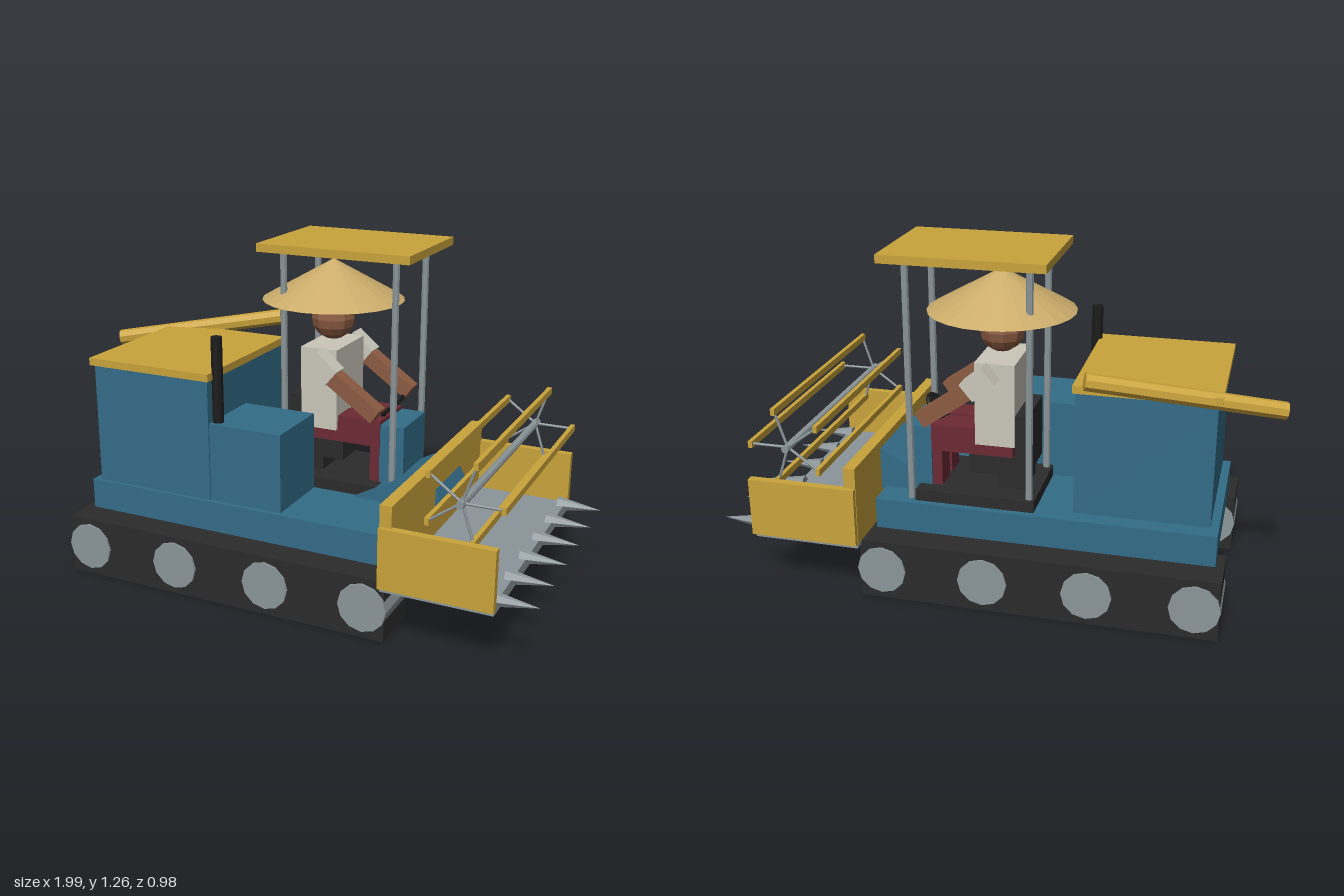
import * as THREE from 'three';

const mat = (name, color) => {
  const m = new THREE.MeshStandardMaterial({ color, flatShading: true });
  m.name = name;
  return m;
};

export function createModel() {
  const gold = mat('gold paint', 0xc9a33b), blue = mat('blue paint', 0x336c88);
  const steel = mat('steel', 0x8b9599), rubber = mat('black rubber', 0x2b2b2b);
  const soot = mat('dark soot', 0x1d1c1c), skin = mat('skin', 0x8c5b41);
  const cloth = mat('cream shirt', 0xcbc7ba), red = mat('maroon trousers', 0x6c2a34);
  const straw = mat('straw', 0xcbac6b);

  const model = new THREE.Group();
  model.name = 'harvester';
  const V = (x, y, z) => new THREE.Vector3(x, y, z);

  const add = (name, geo, material, x = 0, y = 0, z = 0) => {
    const m = new THREE.Mesh(geo, material);
    m.name = name;
    m.position.set(x, y, z);
    model.add(m);
    return m;
  };
  // box given by its limits on each axis
  const box = (name, material, [x0, x1], [y0, y1], [z0, z1]) =>
    add(name, new THREE.BoxGeometry(x1 - x0, y1 - y0, z1 - z0), material,
      (x0 + x1) / 2, (y0 + y1) / 2, (z0 + z1) / 2);
  // cylinder between two points
  const rod = (name, material, a, b, r, sides = 8, rTop = r) => {
    const m = add(name, new THREE.CylinderGeometry(rTop, r, a.distanceTo(b), sides), material);
    m.position.copy(a).add(b).multiplyScalar(0.5);
    m.quaternion.setFromUnitVectors(V(0, 1, 0), b.clone().sub(a).normalize());
    return m;
  };
  // square limb running between two points of the x-y plane
  const limb = (name, material, [x0, y0], [x1, y1], z, thick, width) => {
    const len = Math.hypot(x1 - x0, y1 - y0);
    const m = add(name, new THREE.BoxGeometry(len, thick, width), material, (x0 + x1) / 2, (y0 + y1) / 2, z);
    m.rotation.z = Math.atan2(y1 - y0, x1 - x0);
    return m;
  };

  // tracks and road wheels
  for (const s of [1, -1]) {
    const z = s * 0.335;
    box('track', rubber, [-0.83, 0.46], [0, 0.225], [z - 0.1, z + 0.1]);
    for (let i = 0; i < 4; i++) {
      const x = -0.745 + i * 0.375;
      rod('roadWheel', steel, V(x, 0.115, z - 0.108), V(x, 0.115, z + 0.108), 0.09, 12);
    }
  }

  // body
  box('chassis', blue, [-0.8, 0.435], [0.225, 0.34], [-0.325, 0.325]);
  box('grainTank', blue, [-0.77, -0.285], [0.34, 0.797], [-0.26, 0.31]);
  box('tankLid', gold, [-0.785, -0.275], [0.797, 0.825], [-0.272, 0.322]);
  box('engineBox', blue, [-0.29, 0.003], [0.34, 0.635], [0.033, 0.305]);
  rod('exhaust', soot, V(-0.265, 0.6, 0.27), V(-0.265, 0.953, 0.27), 0.021, 10);
  rod('unloadingTube', gold, V(-0.99, 0.765, -0.175), V(-0.335, 0.88, -0.368), 0.031);

  // cab platform, seat and controls
  const mid = -0.133;
  box('platform', rubber, [-0.15, 0.29], [0.34, 0.383], [-0.3, 0.03]);
  box('seatBase', rubber, [-0.1, 0], [0.38, 0.46], [mid - 0.08, mid + 0.08]);
  box('seat', rubber, [-0.117, 0.1], [0.45, 0.52], [mid - 0.115, mid + 0.115]);
  box('seatBack', rubber, [-0.117, -0.07], [0.5, 0.683], [mid - 0.115, mid + 0.115]);
  box('console', blue, [0.243, 0.338], [0.34, 0.607], [-0.243, -0.027]);
  rod('steeringWheel', soot, V(0.253, 0.643, mid), V(0.244, 0.652, mid), 0.05, 14);
  const rim = add('steeringRim', new THREE.TorusGeometry(0.052, 0.009, 6, 14), soot, 0.249, 0.648, mid);
  rim.quaternion.setFromUnitVectors(V(0, 0, 1), V(-0.76, 0.65, 0).normalize());

  // canopy
  for (const x of [-0.128, 0.31])
    for (const z of [0.012, -0.278])
      rod('canopyPost', steel, V(x, 0.34, z), V(x, 1.232, z), 0.013);
  box('canopy', gold, [-0.2, 0.387], [1.23, 1.26], [-0.353, 0.087]);

  // driver
  box('torso', cloth, [-0.07, 0.075], [0.565, 0.873], [mid - 0.123, mid + 0.123]);
  add('head', new THREE.SphereGeometry(0.083, 10, 8), skin, 0.005, 0.967, mid);
  const hair = add('hair', new THREE.SphereGeometry(0.087, 10, 5, 0, Math.PI * 2, 0, Math.PI / 2), soot, -0.003, 1.01, mid);
  hair.rotation.z = 0.2;
  hair.scale.y = 0.75;
  add('strawHat', new THREE.ConeGeometry(0.265, 0.15, 24), straw, 0.005, 1.112, mid);
  for (const s of [1, -1]) {
    const arm = mid + s * 0.165, leg = mid + s * 0.06;
    limb('upperArm', cloth, [0.005, 0.852], [0.085, 0.785], arm, 0.075, 0.07);
    limb('forearm', skin, [0.07, 0.795], [0.258, 0.663], arm, 0.057, 0.058);
    box('thigh', red, [-0.06, 0.245], [0.52, 0.62], [leg - 0.05, leg + 0.05]);
    box('shin', red, [0.205, 0.242], [0.383, 0.54], [leg - 0.045, leg + 0.045]);
  }

  // sloping feeder into the header
  limb('feeder', blue, [0.211, 0.28], [0.492, 0.432], -0.08, 0.14, 0.266);

  // header
  box('headerFloor', steel, [0.455, 0.85], [0.207, 0.25], [-0.468, 0.468]);
  box('headerBack', gold, [0.452, 0.495], [0.225, 0.52], [-0.47, 0.47]);
  for (const s of [1, -1])
    add('headerSide', new THREE.BoxGeometry(0.4, 0.218, 0.03), gold, 0.654, 0.335, s * 0.474);
  for (let i = 0; i < 6; i++) {
    const z = -0.43 + i * 0.172;
    rod('cutterFinger', steel, V(0.825, 0.25, z), V(0.99, 0.25, z), 0.028, 6, 0);
  }

  // reel
  const cx = 0.717, cy = 0.56;
  rod('reelAxle', steel, V(cx, cy, -0.456), V(cx, cy, 0.456), 0.014);
  for (let i = 0; i < 5; i++) {
    const a = i * Math.PI * 0.4;
    const x = cx + 0.14 * Math.cos(a), y = cy + 0.14 * Math.sin(a);
    add('reelBar', new THREE.BoxGeometry(0.016, 0.025, 0.886), gold, x, y, 0);
    for (const z of [-0.43, 0.43]) rod('reelSpoke', steel, V(cx, cy, z), V(x, y, z), 0.005, 6);
  }
  return model;
}
